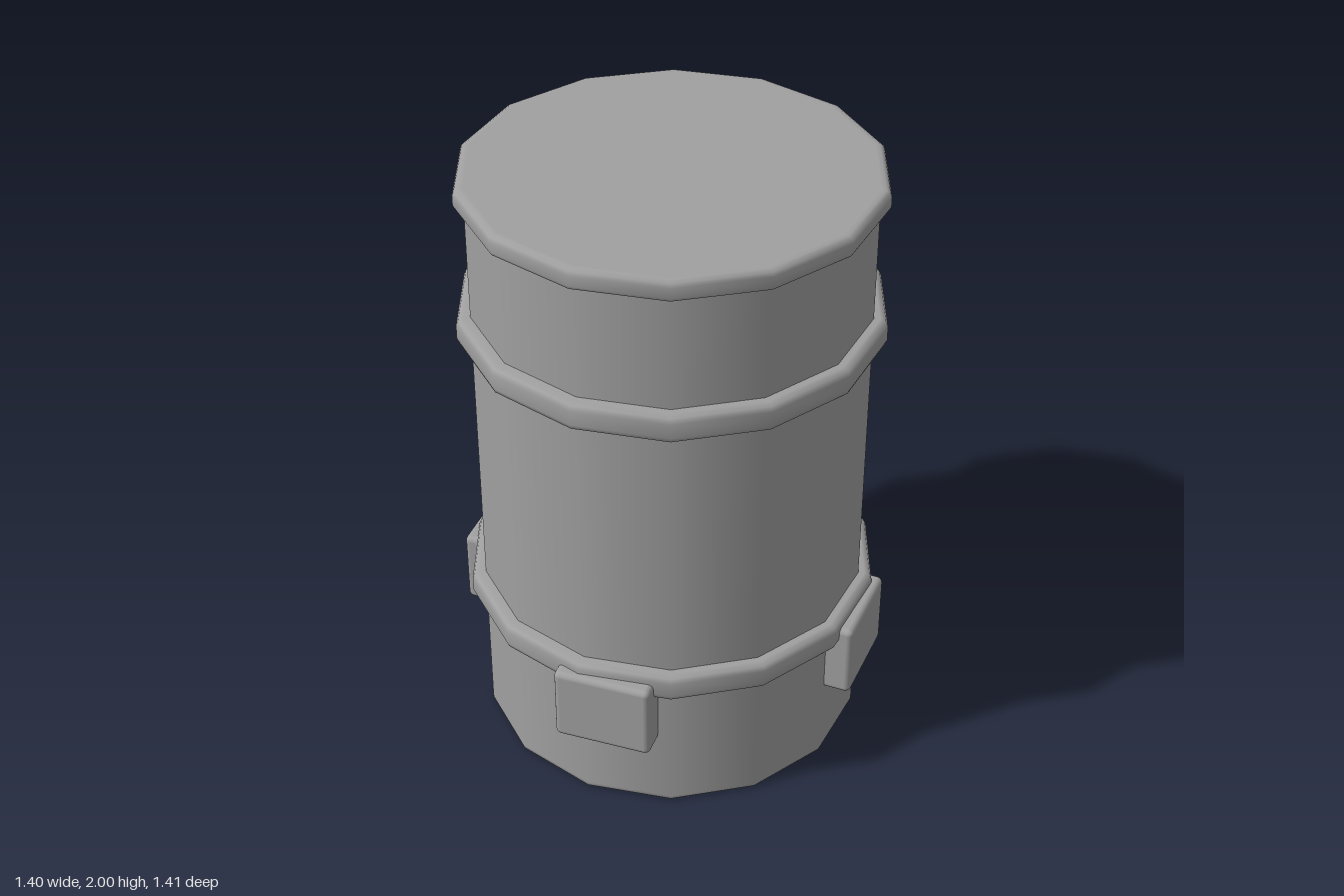
import * as THREE from 'three';
import { RoundedBoxGeometry } from 'three/addons/geometries/RoundedBoxGeometry.js';

const SIDES = 14;

export function createModel() {
  const group = new THREE.Group();
  const grey = new THREE.MeshStandardMaterial({ color: 0xa0a0a0 });
  grey.name = 'grey';

  const add = (name, geometry) => {
    const mesh = new THREE.Mesh(geometry, grey);
    mesh.name = name;
    group.add(mesh);
    return mesh;
  };

  // Profile points run from bottom to top, as [radius, height]
  const lathe = (points) =>
    new THREE.LatheGeometry(points.map(([r, y]) => new THREE.Vector2(r, y)), SIDES);

  // Hoop with softly bevelled edges, sunk into the wall
  const hoop = (name, y0, y1, r) => add(name, lathe([
    [0.6, y0], [r - 0.025, y0], [r - 0.007, y0 + 0.007], [r, y0 + 0.024],
    [r, y1 - 0.024], [r - 0.007, y1 - 0.007], [r - 0.025, y1], [0.6, y1],
  ]));

  // Drum wall and base
  add('drumBody', lathe([
    [0, 0], [0.61, 0], [0.62, 0.001], [0.629, 0.008], [0.63, 0.02], [0.63, 1.95],
  ]));

  // Flat lid with a rolled edge
  add('lid', lathe([
    [0.6, 1.93], [0.645, 1.93], [0.655, 1.935], [0.662, 1.947],
    [0.662, 1.98], [0.657, 1.993], [0.645, 2], [0.63, 2], [0, 2],
  ]));

  hoop('upperHoop', 1.46, 1.555, 0.675);
  hoop('lowerHoop', 0.47, 0.565, 0.675);

  // Four blocks around the lower hoop
  [16.3, 107.8, 198.8, 290].forEach((degrees, i) => {
    const a = THREE.MathUtils.degToRad(degrees);
    const block = add('block' + (i + 1), new RoundedBoxGeometry(0.32, 0.26, 0.104, 3, 0.02));
    block.position.set(Math.sin(a) * 0.641, 0.4, Math.cos(a) * 0.641);
    block.rotation.y = a;
  });

  return group;
}
